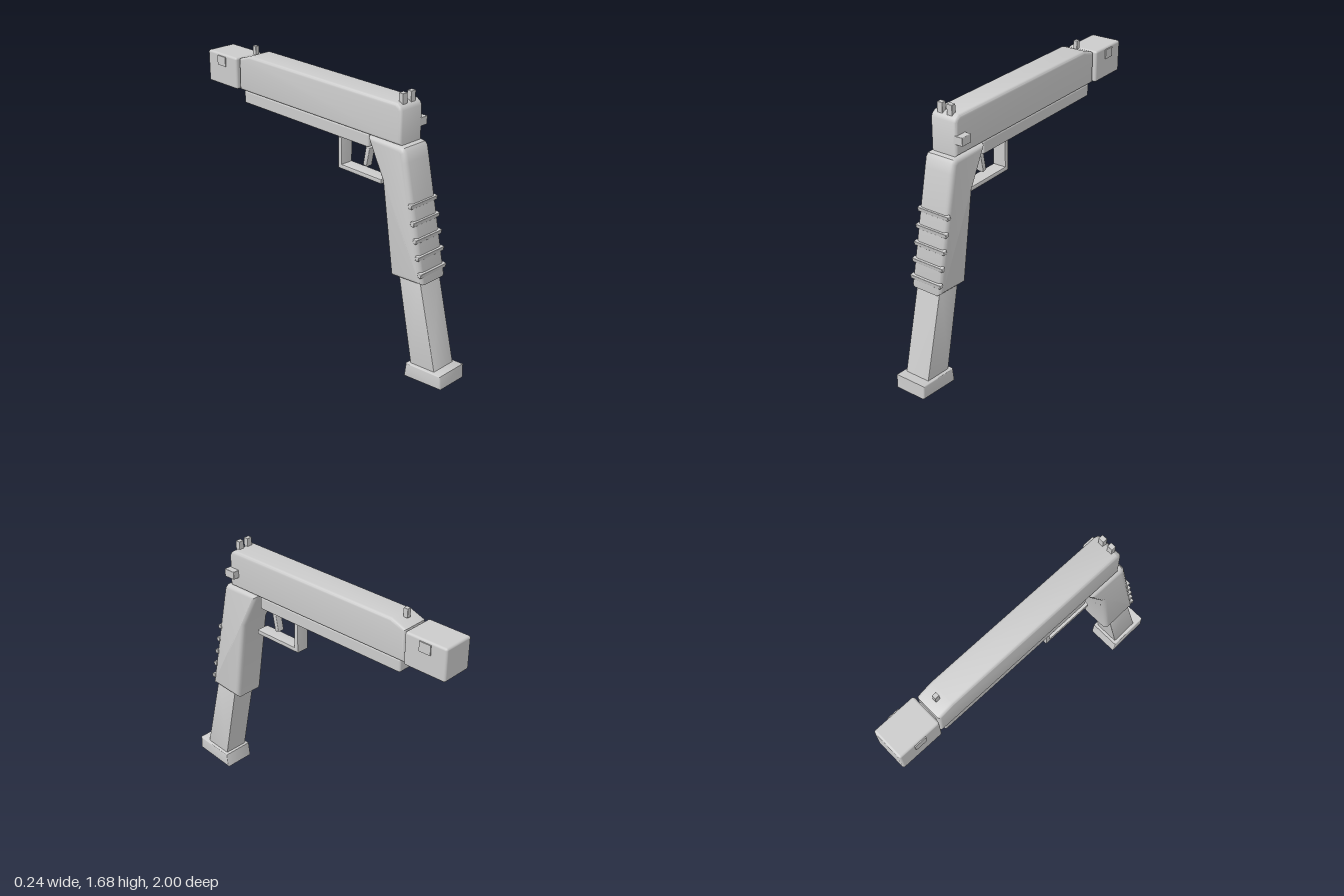
import * as THREE from 'three';
import { toCreasedNormals } from 'three/addons/utils/BufferGeometryUtils.js';
import { RoundedBoxGeometry } from 'three/addons/geometries/RoundedBoxGeometry.js';

const CX = -0.0125; // centre plane of the body
const material = new THREE.MeshStandardMaterial({ color: 0xcccccc });

export function createModel() {
  const group = new THREE.Group();

  const add = (name, geometry, x = 0, y = 0, z = 0) => {
    const mesh = new THREE.Mesh(geometry, material);
    mesh.name = name;
    mesh.position.set(x, y, z);
    group.add(mesh);
    return mesh;
  };

  // Side outline of [z, y] points, extruded across x; the bevel stays inside the outline
  const profile = (name, points, width, bevel, x = CX) => {
    const shape = new THREE.Shape(points.map(([z, y]) => new THREE.Vector2(z, y)));
    const geometry = new THREE.ExtrudeGeometry(shape, {
      depth: width - 2 * bevel,
      bevelEnabled: bevel > 0,
      bevelThickness: bevel,
      bevelSize: bevel,
      bevelOffset: -bevel,
      bevelSegments: 4,
    });
    geometry.translate(0, 0, bevel - width / 2);
    geometry.rotateY(-Math.PI / 2);
    return add(name, toCreasedNormals(geometry, 0.6), x);
  };

  // Box given by its limits, optionally rounded
  const box = (name, [x0, x1], [y0, y1], [z0, z1], radius = 0) => {
    const size = [x1 - x0, y1 - y0, z1 - z0];
    const geometry = radius
      ? new RoundedBoxGeometry(...size, 3, radius)
      : new THREE.BoxGeometry(...size);
    return add(name, geometry, (x0 + x1) / 2, (y0 + y1) / 2, (z0 + z1) / 2);
  };

  // Upper body: slide, rail and muzzle block
  profile('slide', [
    [0.632, 1.4], [0.632, 1.595], [0.622, 1.615], [0.597, 1.632],
    [-0.615, 1.632], [-0.715, 1.597], [-0.718, 1.4],
  ], 0.175, 0.018);
  box('rail', [CX - 0.0775, CX + 0.0775], [1.32, 1.402], [-0.685, 0.387], 0.012);
  box('muzzleCore', [CX - 0.06, CX + 0.06], [1.44, 1.56], [-0.76, -0.69]);
  box('muzzleBlock', [CX - 0.102, CX + 0.102], [1.4, 1.6], [-1, -0.724], 0.014);
  for (const side of [-1, 1]) {
    const x = CX + side * 0.102;
    box('muzzlePlate', [x - 0.006, x + 0.006], [1.525, 1.585], [-0.9, -0.825]);
  }

  // Sights and side lever
  box('frontSight', [-0.027, 0.0], [1.62, 1.675], [-0.668, -0.638], 0.003);
  for (const side of [-1, 1]) {
    const x = -0.015 + side * 0.0325;
    box('rearSight', [x - 0.018, x + 0.018], [1.61, 1.682], [0.582, 0.613], 0.003);
  }
  box('sideLever', [0.05, 0.116], [1.472, 1.522], [0.555, 0.632], 0.004);

  // Grip, with the top rear corner rounded
  profile('grip', [
    [0.833, 0.64], [0.689, 1.32], [0.676, 1.375], [0.66, 1.395], [0.64, 1.4],
    [0.4, 1.4], [0.408, 1.372], [0.515, 1.165], [0.597, 0.612], [0.585, 0.597], [0.83, 0.632],
  ].filter((p) => p[0] !== 0.585), 0.205, 0.028);

  // Ridges along the back of the grip
  for (let i = 0; i < 5; i++) {
    const y = 1.082 - i * 0.097;
    const z = 0.732 + i * 0.0212;
    const ridge = add('gripRidge', new RoundedBoxGeometry(0.214, 0.027, 0.026, 2, 0.004), CX, y, z);
    ridge.rotation.x = 0.2;
  }

  // Magazine and its base
  profile('magazine', [
    [0.79, 0.7], [0.64, 0.66], [0.757, 0.09], [0.938, 0.1],
  ], 0.163, 0.004);
  profile('magazineBase', [
    [1.0, 0.035], [0.997, 0.122], [0.737, 0.095], [0.725, 0.003],
  ], 0.205, 0.009);

  // Trigger and its guard
  profile('trigger', [
    [0.345, 1.29], [0.316, 1.297], [0.293, 1.178], [0.321, 1.172],
  ], 0.045, 0.004);
  profile('triggerGuard', [
    [0.455, 1.113], [0.455, 1.139], [0.14, 1.139], [0.14, 1.302], [0.113, 1.302], [0.113, 1.113],
  ], 0.085, 0.003);

  return group;
}
